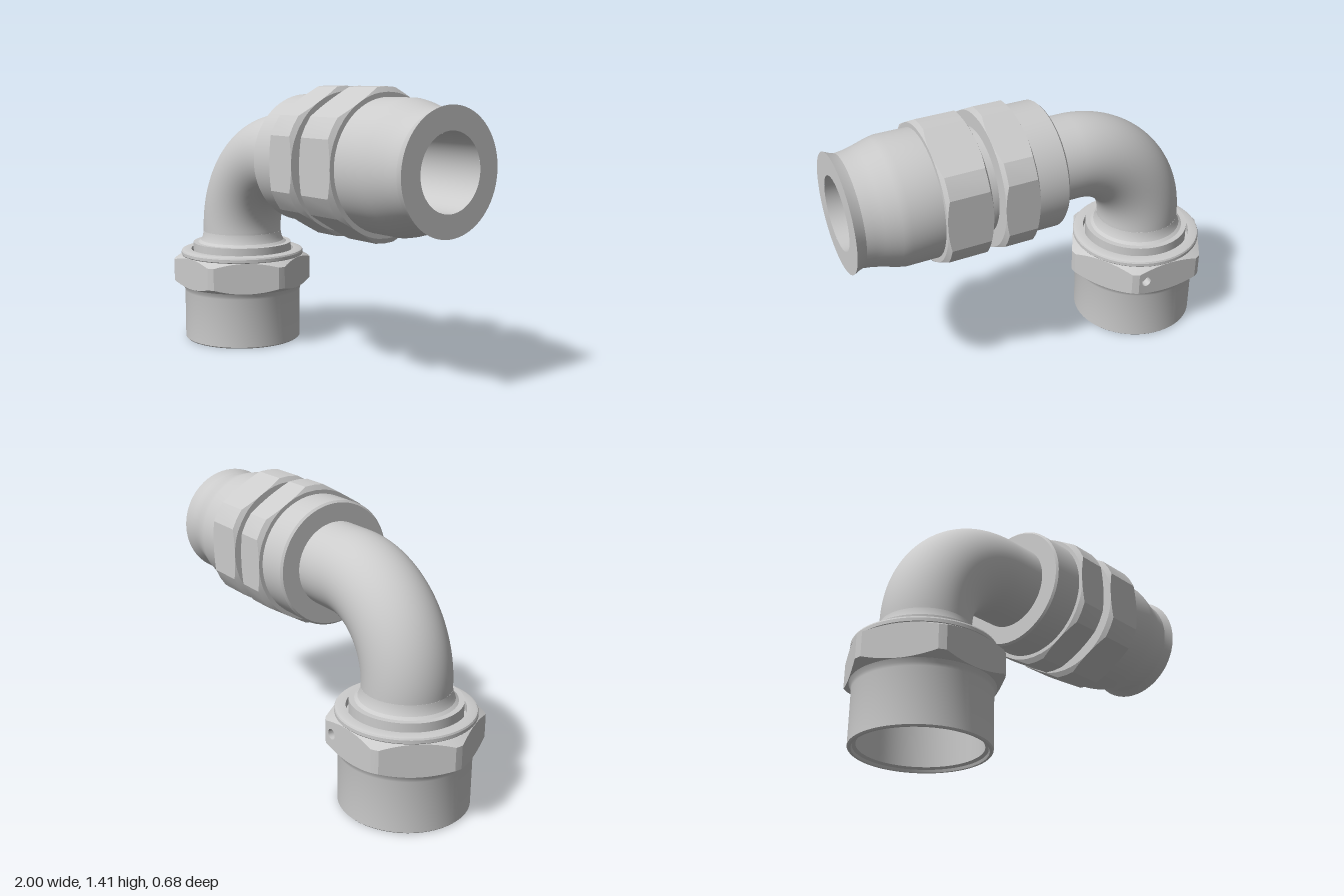
import * as THREE from 'three';
import { toCreasedNormals } from 'three/addons/utils/BufferGeometryUtils.js';

const grey = new THREE.MeshStandardMaterial({ color: 0xcccccc });
const greyDouble = new THREE.MeshStandardMaterial({ color: 0xcccccc, side: THREE.DoubleSide });

function addMesh(parent, name, geometry, material = grey) {
  const mesh = new THREE.Mesh(geometry, material);
  mesh.name = name;
  parent.add(mesh);
  return mesh;
}

// Turned part from [radius, height] points, with crisp edges
function turned(points, segments = 72) {
  const profile = points.map(([r, y]) => new THREE.Vector2(r, y));
  return toCreasedNormals(new THREE.LatheGeometry(profile, segments), 0.4);
}

// Hexagon about y with chamfered, rounded-off corners on the x axis.
// hole = { side, u, y, r } drills one flat.
function hexNut(name, y0, y1, flat, corner, inner, hole) {
  const nut = new THREE.Group();
  nut.name = name;
  const slope = 0.577;
  const drop = (r) => (r - flat) * slope;
  const edge = Math.acos(flat / corner);
  const steps = 14;
  const positions = [];
  const point = (r, y, t) => [r * Math.cos(t), y, r * Math.sin(t)];

  // Offsets across one flat, including the two corner arcs
  const offsets = [-Math.PI / 6];
  for (let i = 0; i <= steps; i++) offsets.push(edge * (2 * i / steps - 1));
  offsets.push(Math.PI / 6);

  for (let side = 0; side < 6; side++) {
    const middle = Math.PI / 6 + side * Math.PI / 3;
    for (let i = 0; i < offsets.length - 1; i++) {
      const rings = [offsets[i], offsets[i + 1]].map((o) => {
        const r = Math.min(flat / Math.cos(o), corner);
        return [[inner, y0], [flat, y0], [r, y0 + drop(r)], [r, y1 - drop(r)], [flat, y1], [inner, y1]]
          .map(([rad, y]) => point(rad, y, middle + o));
      });
      const onFlat = i > 0 && i < offsets.length - 2;
      for (let k = 0; k < 5; k++) {
        if (k === 2 && onFlat) continue;
        const [a, b] = rings;
        positions.push(...a[k], ...a[k + 1], ...b[k], ...b[k], ...a[k + 1], ...b[k + 1]);
      }
    }
  }
  const rim = new THREE.BufferGeometry();
  rim.setAttribute('position', new THREE.Float32BufferAttribute(positions, 3));
  addMesh(nut, 'nutChamfers', toCreasedNormals(rim, 0.3));

  // Flats, bounded by the curved chamfer edges
  for (let side = 0; side < 6; side++) {
    const low = [], high = [];
    for (let i = 0; i <= steps; i++) {
      const o = edge * (2 * i / steps - 1);
      const r = flat / Math.cos(o);
      low.push(new THREE.Vector2(flat * Math.tan(o), y0 + drop(r)));
      high.unshift(new THREE.Vector2(flat * Math.tan(o), y1 - drop(r)));
    }
    const shape = new THREE.Shape([...low, ...high]);
    const turn = Math.PI / 3 - side * Math.PI / 3;
    if (hole && hole.side === side) {
      shape.holes.push(new THREE.Path().absarc(hole.u, hole.y, hole.r, 0, Math.PI * 2, true));
      const drill = new THREE.LatheGeometry(
        [[0, -0.04], [hole.r, -0.04], [hole.r, 0]].map(([r, y]) => new THREE.Vector2(r, y)), 24);
      drill.rotateX(Math.PI / 2).translate(hole.u, hole.y, flat).rotateY(turn);
      addMesh(nut, 'lockWireHole', toCreasedNormals(drill, 0.4), greyDouble);
    }
    const face = new THREE.ShapeGeometry(shape, 12);
    face.translate(0, 0, flat).rotateY(turn);
    addMesh(nut, 'nutFlat', face);
  }
  return nut;
}

const POST_X = -0.62, ARM_Y = 1.045, BEND = 0.43;

// Centre line: up, round the bend, then along +x
function elbowPath(startY, endX) {
  const bendY = ARM_Y - BEND, bendX = POST_X + BEND, k = 0.5523 * BEND;
  const v = (x, y) => new THREE.Vector3(x, y, 0);
  const path = new THREE.CurvePath();
  path.add(new THREE.LineCurve3(v(POST_X, startY), v(POST_X, bendY)));
  path.add(new THREE.CubicBezierCurve3(
    v(POST_X, bendY), v(POST_X, bendY + k), v(bendX - k, ARM_Y), v(bendX, ARM_Y)));
  path.add(new THREE.LineCurve3(v(bendX, ARM_Y), v(endX, ARM_Y)));
  return path;
}

export function createModel() {
  const model = new THREE.Group();
  model.name = 'elbowFitting';

  // Bent tube and its bore
  addMesh(model, 'elbowTube', new THREE.TubeGeometry(elbowPath(0.55, 0), 90, 0.215, 64));
  addMesh(model, 'elbowBore', new THREE.TubeGeometry(elbowPath(0.38, 1), 120, 0.18, 64), greyDouble);

  // Swivel end, standing on the ground
  const swivel = new THREE.Group();
  swivel.name = 'swivelEnd';
  swivel.position.x = POST_X;
  model.add(swivel);
  addMesh(swivel, 'swivelSleeve', turned([
    [0.285, 0.5], [0.285, 0.02], [0.3, 0.012], [0.305, 0], [0.316, 0], [0.322, 0.006],
    [0.322, 0.27], [0.326, 0.285], [0.337, 0.305], [0.29, 0.305], [0.29, 0.465],
    [0.333, 0.465], [0.339, 0.472], [0.339, 0.488], [0.335, 0.496], [0.325, 0.5], [0.285, 0.5],
  ]));
  addMesh(swivel, 'tubeCollar', turned([
    [0.18, 0.38], [0.25, 0.27], [0.285, 0.27], [0.285, 0.46], [0.272, 0.46], [0.272, 0.538],
    [0.245, 0.538], [0.23, 0.55], [0.22, 0.57], [0.2155, 0.6], [0.205, 0.6],
  ]));
  swivel.add(hexNut('swivelNut', 0.302, 0.468, 0.338, 0.38, 0.29,
    { side: 4, u: -0.13, y: 0.39, r: 0.026 }));

  // Hose end: turned about y, then laid along +x
  const hoseEnd = new THREE.Group();
  hoseEnd.name = 'hoseEnd';
  hoseEnd.position.y = ARM_Y;
  hoseEnd.rotation.z = -Math.PI / 2;
  model.add(hoseEnd);
  addMesh(hoseEnd, 'rearCollar', turned([
    [0.2, -0.04], [0.308, -0.04], [0.318, -0.03], [0.318, 0.135], [0.2, 0.135],
  ]));
  hoseEnd.add(hexNut('rearNut', 0.13, 0.305, 0.338, 0.363, 0.2));
  addMesh(hoseEnd, 'spacerRing', turned([
    [0.2, 0.3], [0.262, 0.3], [0.262, 0.325], [0.275, 0.325], [0.275, 0.37], [0.2, 0.37],
  ]));
  hoseEnd.add(hexNut('frontNut', 0.367, 0.592, 0.338, 0.363, 0.2));
  addMesh(hoseEnd, 'hoseSocket', turned([
    [0.2, 0.58], [0.315, 0.58], [0.315, 0.75], [0.307, 0.79], [0.285, 0.865], [0.275, 0.91],
    [0.27, 0.95], [0.276, 0.97], [0.29, 1], [0.18, 1],
  ]));

  return model;
}
